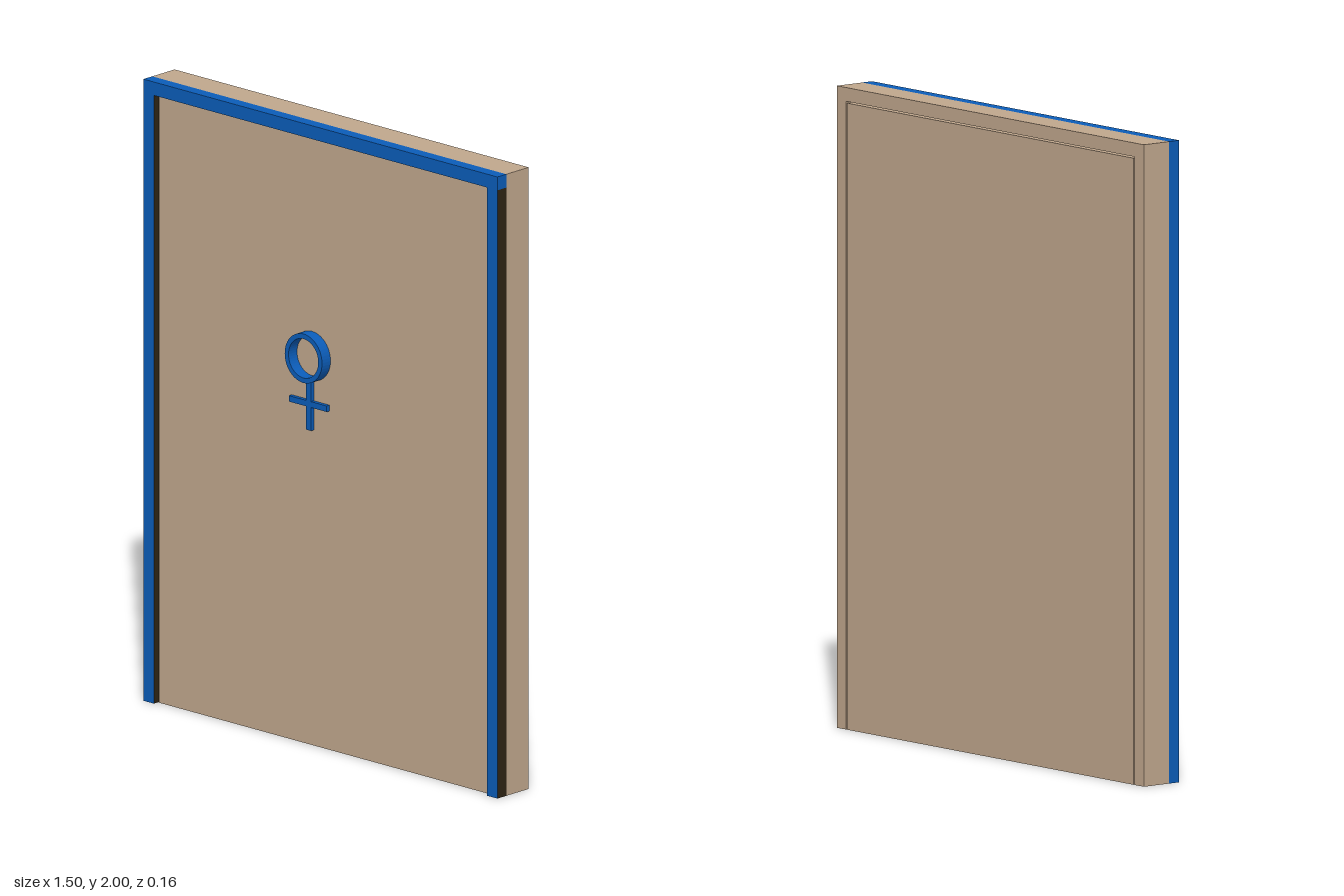
import * as THREE from 'three';

export function createModel() {
  const model = new THREE.Group();
  const tan = new THREE.MeshStandardMaterial({ color: 0xbfa68c });
  const blue = new THREE.MeshStandardMaterial({ color: 0x0b5cb8 });
  const dark = new THREE.MeshStandardMaterial({ color: 0x2e2414 });
  tan.name = 'tan wood';
  blue.name = 'blue paint';
  dark.name = 'dark brown';
  // faces: +x, -x, +y, -y, +z, -z
  const postFaces = [dark, blue, blue, dark, blue, blue];

  // box given by its minimum and maximum corners
  function box(name, material, min, max, parent = model) {
    const size = max.map((v, i) => v - min[i]);
    const mesh = new THREE.Mesh(new THREE.BoxGeometry(...size), material);
    mesh.position.set(...max.map((v, i) => (v + min[i]) / 2));
    mesh.name = name;
    parent.add(mesh);
    return mesh;
  }

  // door leaf, with a narrow gap to the frame
  box('doorLeaf', tan, [-0.7, 0, -0.08], [0.699, 1.952, 0.042]);

  // jambs behind, painted casing in front
  for (const [side, label] of [[-1, 'right'], [1, 'left']]) {
    const edges = [side * 0.705, side * 0.75].sort((a, b) => a - b);
    box(label + 'Jamb', tan, [edges[0], 0, -0.08], [edges[1], 1.957, 0.02]);
    box(label + 'Casing', postFaces, [edges[0], 0, 0.02], [edges[1], 1.957, 0.06]);
  }
  box('headJamb', tan, [-0.75, 1.957, -0.08], [0.75, 2, 0.02]);
  box('headCasing', blue, [-0.75, 1.957, 0.02], [0.75, 2, 0.06]);

  // sign: raised ring above a flat cross
  const sign = new THREE.Group();
  sign.name = 'doorSign';
  const ringShape = new THREE.Shape().absarc(0, 0, 0.079, 0, Math.PI * 2, false);
  ringShape.holes.push(new THREE.Path().absarc(0, 0, 0.063, 0, Math.PI * 2, true));
  const ring = new THREE.Mesh(
    new THREE.ExtrudeGeometry(ringShape, { depth: 0.04, bevelEnabled: false, curveSegments: 24 }), blue);
  ring.name = 'signRing';
  ring.position.set(-0.053, 1.252, 0.04);
  sign.add(ring);
  box('signStem', blue, [-0.065, 1.015, 0.04], [-0.045, 1.18, 0.055], sign);
  box('signBar', blue, [-0.138, 1.09, 0.04], [0.022, 1.109, 0.055], sign);
  model.add(sign);

  return model;
}
